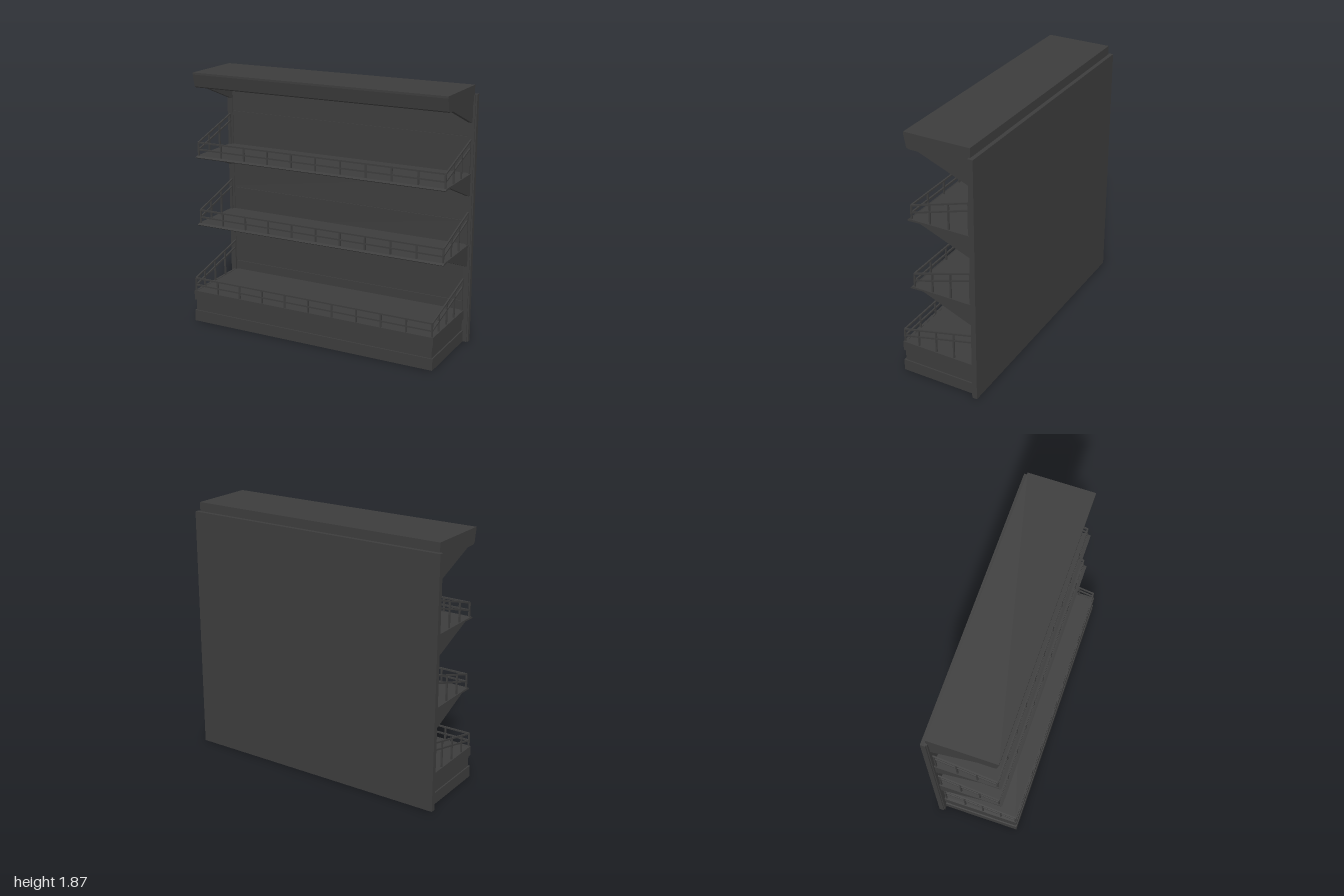
import * as THREE from 'three';

const dark = new THREE.MeshStandardMaterial({ color: 0x3c3c3c, flatShading: true });

export function createModel() {
  const model = new THREE.Group();

  const add = (parent, name, geometry) => {
    const mesh = new THREE.Mesh(geometry, dark);
    mesh.name = name;
    parent.add(mesh);
    return mesh;
  };

  // Box given by its limits on each axis
  const box = (parent, name, x0, x1, y0, y1, z0, z1) =>
    add(parent, name, new THREE.BoxGeometry(x1 - x0, y1 - y0, z1 - z0))
      .position.set((x0 + x1) / 2, (y0 + y1) / 2, (z0 + z1) / 2);

  // Side profile of [z, y] points, extruded across x around a centre
  const profile = (parent, name, points, width, x = 0) => {
    const shape = new THREE.Shape(points.map(([z, y]) => new THREE.Vector2(z, y)));
    const geometry = new THREE.ExtrudeGeometry(shape, { depth: width, bevelEnabled: false });
    geometry.translate(0, 0, -width / 2).rotateY(-Math.PI / 2);
    add(parent, name, geometry).position.x = x;
  };

  // Square bar between two points
  const bar = (parent, name, a, b, t = 0.011) => {
    const from = new THREE.Vector3(...a), to = new THREE.Vector3(...b);
    const mesh = add(parent, name, new THREE.BoxGeometry(t, t, from.distanceTo(to)));
    mesh.position.copy(from).add(to).multiplyScalar(0.5);
    mesh.lookAt(to);
  };

  // Guard rail round a deck: level in front, rising to the back at the sides
  const guardRail = (name, y, halfWidth, front, rise) => {
    const rail = new THREE.Group();
    rail.name = name;
    const back = -0.26;
    const heightAt = (z) => 0.098 + rise * (front - z) / (front - back);
    for (const drop of [0, 0.053]) {
      const h = y + 0.098 - drop;
      bar(rail, 'frontRail', [-halfWidth, h, front], [halfWidth, h, front]);
      for (const s of [-1, 1]) {
        bar(rail, 'sideRail', [s * halfWidth, h, front], [s * halfWidth, h + rise, back]);
      }
    }
    for (let i = 0; i <= 10; i++) {
      const x = halfWidth * (i / 5 - 1);
      bar(rail, 'frontPost', [x, y, front], [x, y + 0.098, front]);
    }
    const stops = [0.18, 0.04, -0.1, -0.25].filter((z) => z < front - 0.01);
    for (const s of [-1, 1]) for (const z of stops) {
      bar(rail, 'sidePost', [s * halfWidth, y, z], [s * halfWidth, y + heightAt(z), z]);
    }
    model.add(rail);
  };

  // Triangular brackets under a deck, one at each end
  const brackets = (top) => {
    for (const s of [-1, 1]) {
      profile(model, 'bracket', [
        [-0.27, top], [-0.27, top - 0.15], [-0.25, top - 0.15], [0.11, top - 0.006], [0.11, top],
      ], 0.025, s * 0.963);
    }
  };

  // Back wall with seamed facing panels and uprights
  box(model, 'backWall', -1, 1, 0, 1.8, -0.305, -0.276);
  for (let i = 0; i < 6; i++) {
    box(model, 'facingPanel', -0.95, 0.95, i * 0.3 + 0.015, Math.min(i * 0.3 + 0.305, 1.75), -0.277, -0.268);
  }
  for (const s of [-1, 1]) {
    box(model, 'upright', s * 0.97 - 0.02, s * 0.97 + 0.02, 0, 1.8, -0.28, -0.262);
    box(model, 'uprightEdge', s * 0.9925 - 0.0075, s * 0.9925 + 0.0075, 0, 1.8, -0.28, -0.27);
  }

  // Plinth: open below, with a recessed band round three sides
  const base = new THREE.Group();
  base.name = 'base';
  for (const [y0, y1, inset] of [[0, 0.085, 0], [0.085, 0.168, 0.01], [0.168, 0.24, 0]]) {
    const w = 0.962 - inset, f = 0.305 - inset;
    box(base, 'frontWall', -w, w, y0, y1, f - 0.018, f);
    for (const s of [-1, 1]) {
      const c = s * (w - 0.009);
      box(base, 'sideWall', c - 0.009, c + 0.009, y0, y1, -0.277, f - 0.018);
    }
  }
  box(base, 'baseDeck', -0.945, 0.945, 0.22, 0.238, -0.27, 0.29);
  model.add(base);
  guardRail('baseRail', 0.24, 0.95, 0.295, 0.135);

  // Two upper shelves
  for (const y of [0.735, 1.25]) {
    profile(model, 'shelf', [
      [-0.268, y], [-0.268, y - 0.012], [0.11, y - 0.012], [0.2, y - 0.016], [0.207, y - 0.01], [0.187, y],
    ], 1.96);
    brackets(y - 0.01);
    guardRail('shelfRail', y, 0.968, 0.18, 0.135);
  }

  // Canopy with a slanted fascia
  profile(model, 'canopy', [
    [-0.275, 1.865], [-0.275, 1.752], [0.17, 1.752], [0.187, 1.762], [0.205, 1.85], [0.205, 1.865],
  ], 1.96);
  brackets(1.757);

  return model;
}
